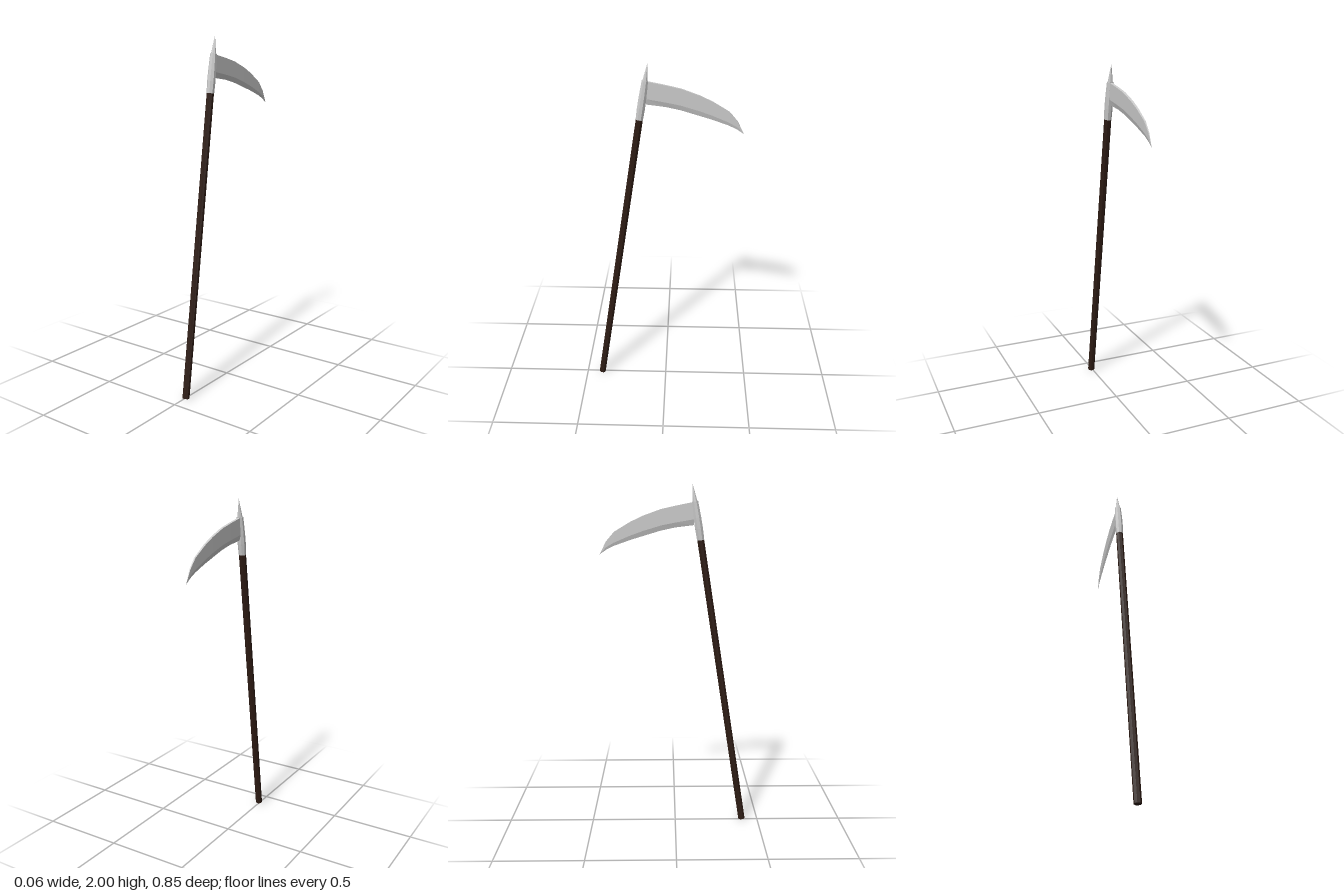
import * as THREE from 'three';

const steel = new THREE.MeshStandardMaterial({ color: 0xcccccc, flatShading: true });
const wood = new THREE.MeshStandardMaterial({ color: 0x2e1c14, flatShading: true });

// Eight-sided turned part along the shaft axis, from [radius, height] pairs
function turned(name, profile, material) {
  const points = profile.map(([r, y]) => new THREE.Vector2(r, y));
  const mesh = new THREE.Mesh(new THREE.LatheGeometry(points, 8, Math.PI / 8), material);
  mesh.name = name;
  return mesh;
}

// Blade stations from socket to tip: z, spine y, bevel line y, edge y, half thickness
const stations = [
  [0.105, 1.897, 1.803, 1.771, 0.008],
  [0.0, 1.876, 1.785, 1.758, 0.008],
  [-0.08, 1.858, 1.769, 1.741, 0.0075],
  [-0.18, 1.822, 1.739, 1.711, 0.007],
  [-0.25, 1.789, 1.714, 1.69, 0.006],
  [-0.34, 1.735, 1.676, 1.658, 0.0045],
  [-0.385, 1.683, 1.65, 1.636, 0.003],
  [-0.423, 1.61, 1.61, 1.61, 0],
];

// Lofts a flat-spined, bevel-edged section through the stations
function bladeGeometry(x) {
  const positions = [];
  const index = [];
  const n = 5;
  for (const [z, spine, bevel, edge, t] of stations) {
    positions.push(x + t, spine, z, x - t, spine, z, x - t, bevel, z, x, edge, z, x + t, bevel, z);
  }
  for (let i = 0; i < stations.length - 1; i++) {
    for (let j = 0; j < n; j++) {
      const a = i * n + j;
      const b = i * n + ((j + 1) % n);
      index.push(a, a + n, b, b, a + n, b + n);
    }
  }
  index.push(0, 1, 2, 0, 2, 4, 4, 2, 3); // root cap
  const geometry = new THREE.BufferGeometry();
  geometry.setAttribute('position', new THREE.Float32BufferAttribute(positions, 3));
  geometry.setIndex(index);
  geometry.computeVertexNormals();
  return geometry;
}

export function createModel() {
  const model = new THREE.Group();
  model.name = 'scythe';

  // Leaning pole with its metal fittings
  const base = new THREE.Vector3(0.006, 0.003, 0.406);
  const axis = new THREE.Vector3(-0.009, 1.69, 0.142).sub(base).normalize();
  const pole = new THREE.Group();
  pole.name = 'pole';
  pole.position.copy(base);
  pole.quaternion.setFromUnitVectors(new THREE.Vector3(0, 1, 0), axis);
  pole.add(
    turned('shaft', [[0, 0], [0.0205, 0], [0.0205, 1.72], [0, 1.72]], wood),
    turned('socket', [[0, 1.706], [0.0215, 1.706], [0.0235, 1.77], [0.0225, 1.83], [0.0185, 1.92], [0, 1.92]], steel),
    turned('spike', [[0.0145, 1.918], [0.008, 1.965], [0, 2.021]], steel)
  );
  model.add(pole);

  // Curved blade
  const blade = new THREE.Mesh(bladeGeometry(-0.011), steel);
  blade.name = 'blade';
  model.add(blade);

  return model;
}
